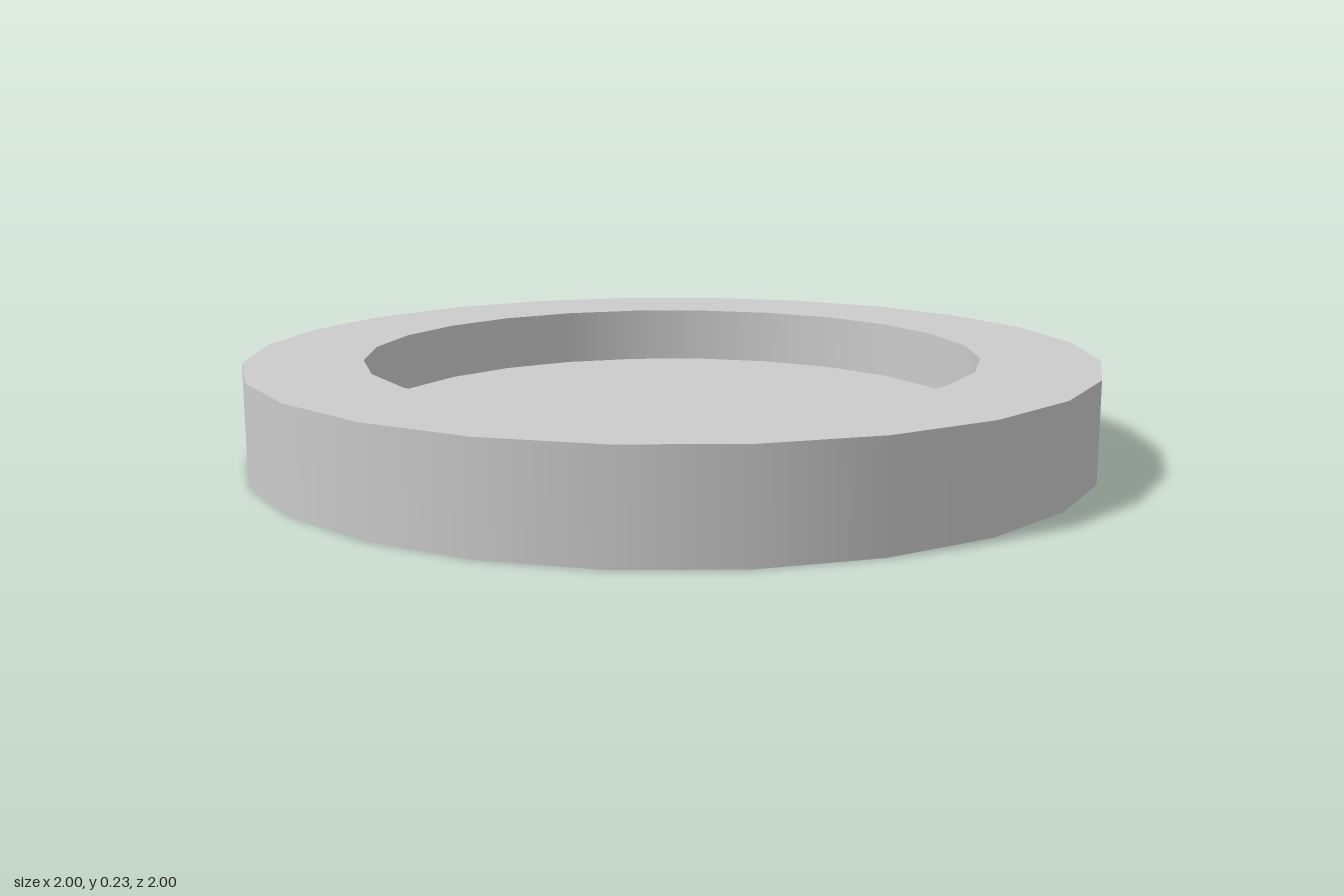
import * as THREE from 'three';

const SIDES = 24;
const OUTER = 1, INNER = 0.725;     // radii of the rim
const TOP = 0.233, FLOOR = 0.095;   // heights of the rim and the recess floor

export function createModel() {
  const group = new THREE.Group();
  group.name = 'recessedDisc';
  const material = new THREE.MeshStandardMaterial({ color: 0xcccccc, side: THREE.DoubleSide });

  // Each profile [radius, y] pair is spun into one surface, so edges between parts stay sharp
  const addSurface = (name, ...profile) => {
    const points = profile.map(([r, y]) => new THREE.Vector2(r, y));
    const mesh = new THREE.Mesh(new THREE.LatheGeometry(points, SIDES), material);
    mesh.name = name;
    group.add(mesh);
  };

  // Thin shell, open underneath
  addSurface('outerWall', [OUTER, 0], [OUTER, TOP]);
  addSurface('topRim', [OUTER, TOP], [INNER, TOP]);
  addSurface('recessWall', [INNER, TOP], [INNER, FLOOR]);

  // Flat floor of the recess
  const floor = new THREE.Mesh(new THREE.CircleGeometry(INNER, SIDES).rotateX(-Math.PI / 2), material);
  floor.name = 'recessFloor';
  floor.position.y = FLOOR;
  group.add(floor);

  return group;
}
